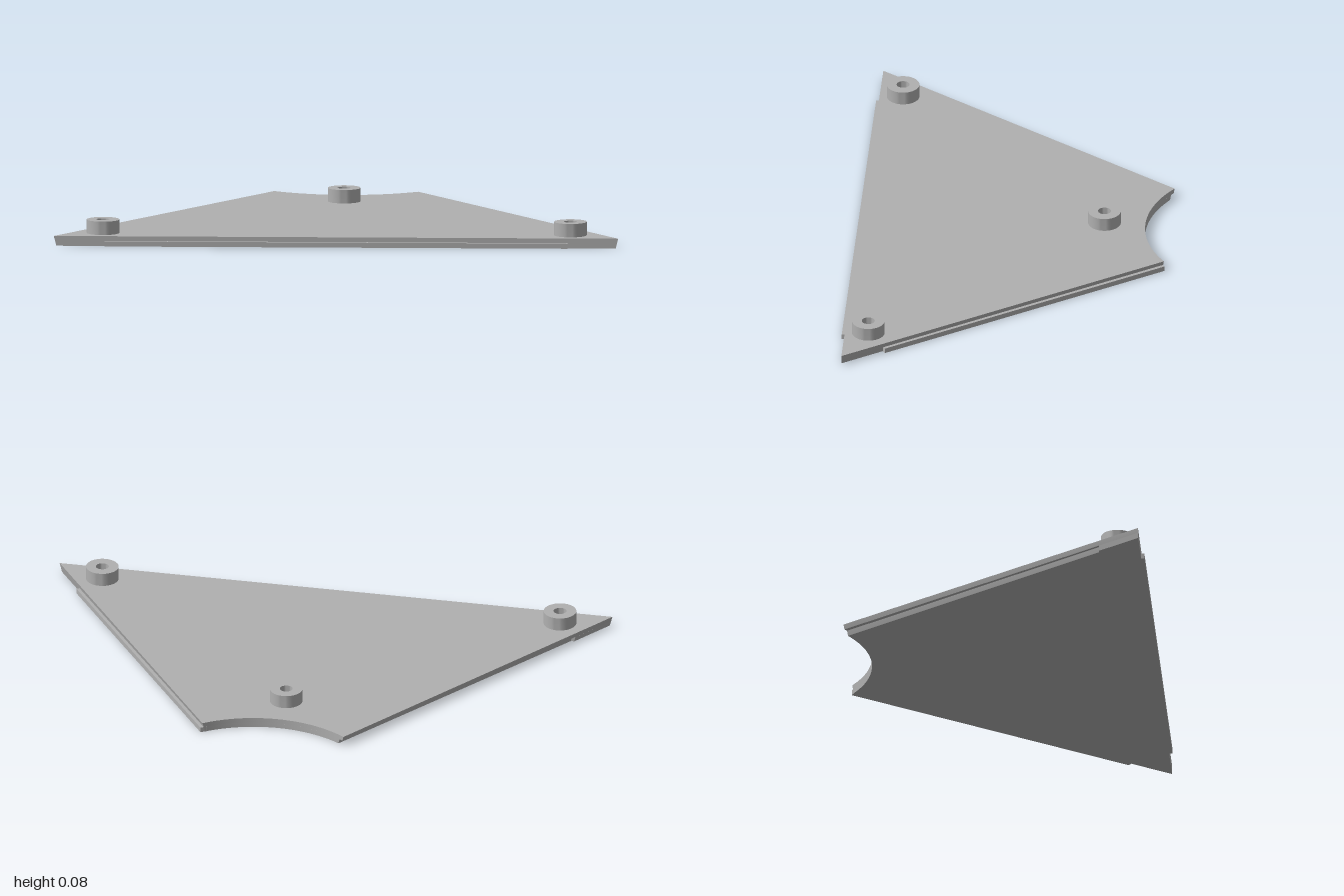
import * as THREE from 'three';
import { toCreasedNormals } from 'three/addons/utils/BufferGeometryUtils.js';

const T = 0.035, STEP = 0.018;      // plate height, tongue height
const ARC_Z = -0.89, ARC_R = 0.425; // circular bite in the back edge
const UNDERCUT = 0.009, GROOVE = 0.012;

const arcZ = (x) => ARC_Z + Math.sqrt(ARC_R * ARC_R - x * x);

// Extrude an [x, z] outline upward from y0 to y1
function slab(points, y0, y1) {
  const shape = new THREE.Shape(points.map(([x, z]) => new THREE.Vector2(x, -z)));
  const geo = new THREE.ExtrudeGeometry(shape, { depth: y1 - y0, bevelEnabled: false });
  geo.rotateX(-Math.PI / 2).translate(0, y0, 0);
  return geo;
}

// Plate outline: straight front and sides, concave back, optional groove in the right-hand (-x) edge
function outline(groove) {
  const pts = [[-1, 0.54], [1, 0.54]];
  const end = -0.255 + groove, n = 24;
  for (let i = 0; i <= n; i++) {
    const x = 0.255 + (end - 0.255) * (i / n);
    pts.push([x, arcZ(x)]);
  }
  if (groove) pts.push([-0.901 + groove, 0.395], [-0.901, 0.395]);
  return pts;
}

// Lean the two side edges inward toward the bottom
function undercut(geo) {
  const p = geo.attributes.position;
  for (let i = 0; i < p.count; i++) {
    const x = p.getX(i), z = p.getZ(i);
    if (Math.abs(x) < 0.235) continue;
    const nx = x - Math.sign(x) * UNDERCUT * (1 - p.getY(i) / T);
    p.setX(i, nx);
    if (z < -0.5) p.setZ(i, arcZ(nx));
  }
  return toCreasedNormals(geo, 0.5);
}

export function createModel() {
  const group = new THREE.Group();
  const grey = new THREE.MeshStandardMaterial({ color: 0xb0b0b0 });
  grey.name = 'plain grey';
  const add = (name, geo) => {
    const mesh = new THREE.Mesh(geo, grey);
    mesh.name = name;
    group.add(mesh);
    return mesh;
  };

  // Plate in two layers, the lower one grooved
  add('plateTop', undercut(slab(outline(0), STEP, T)));
  add('plateBottom', undercut(slab(outline(GROOVE), 0, STEP)));

  // Tongues along the front and the left (+x) edge
  add('frontTongue', slab([[-0.82, 0.53], [-0.82, 0.552], [0.82, 0.552], [0.82, 0.53]], 0, STEP));
  add('sideTongue', slab([[0.24, -0.54], [0.889, 0.405], [0.908, 0.392], [0.262, -0.552]], 0, STEP));

  // Round studs with a blind hole
  const profile = [[0.058, T - 0.005], [0.058, 0.083], [0.023, 0.083], [0.023, T + 0.001], [0, T + 0.001]]
    .map(([r, y]) => new THREE.Vector2(r, y));
  const studGeo = toCreasedNormals(new THREE.LatheGeometry(profile, 40), 0.6);
  for (const [name, x, z] of [['backStud', 0, -0.32], ['leftStud', 0.828, 0.457], ['rightStud', -0.828, 0.457]]) {
    add(name, studGeo).position.set(x, 0, z);
  }
  return group;
}
